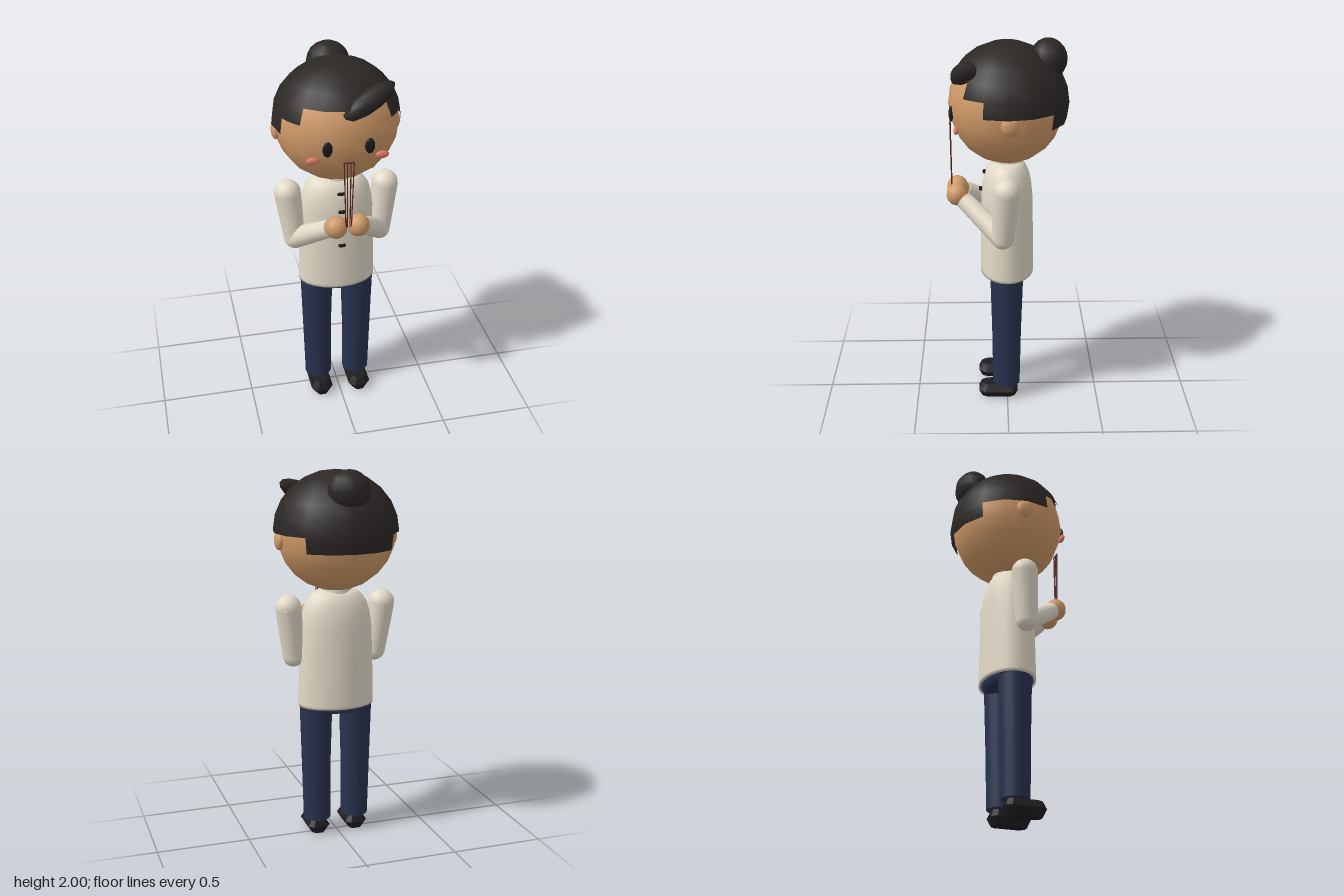
import * as THREE from 'three';

const mat = (color, side = THREE.FrontSide) => new THREE.MeshStandardMaterial({ color, side, roughness: 0.9 });
const SKIN = mat(0xd09a68), HAIR = mat(0x2b2725, THREE.DoubleSide), SHIRT = mat(0xe2dac8);
const PANTS = mat(0x28324e), SHOE = mat(0x1e1e21), DARK = mat(0x1c1a1a), CHEEK = mat(0xe07c6c), STRAND = mat(0x5a2a22);
SHOE.flatShading = true;

export function createModel() {
  const root = new THREE.Group();
  const add = (name, geo, material, x = 0, y = 0, z = 0) => {
    const m = new THREE.Mesh(geo, material);
    m.name = name;
    m.position.set(x, y, z);
    root.add(m);
    return m;
  };
  const ball = (name, material, x, y, z, rx, ry, rz, w = 16, h = 12) => {
    const m = add(name, new THREE.SphereGeometry(1, w, h), material, x, y, z);
    m.scale.set(rx, ry, rz);
    return m;
  };
  // tapered cylinder between two points
  const limb = (name, material, a, b, ra, rb, seg = 16) => {
    const p = new THREE.Vector3(...a), q = new THREE.Vector3(...b), d = q.clone().sub(p);
    const m = add(name, new THREE.CylinderGeometry(rb, ra, d.length(), seg), material);
    m.position.copy(p).add(q).multiplyScalar(0.5);
    m.quaternion.setFromUnitVectors(new THREE.Vector3(0, 1, 0), d.normalize());
    return m;
  };
  const lathe = (name, material, pts, zScale) => {
    const m = add(name, new THREE.LatheGeometry(pts.map(p => new THREE.Vector2(...p)), 24), material);
    m.scale.z = zScale;
    return m;
  };

  // head
  ball('head', SKIN, 0, 1.67, 0, 0.317, 0.312, 0.3);

  // hair cap: sphere patches with a stepped lower edge [phi start, phi length, theta length]
  const deg = Math.PI / 180;
  [[45, 90, 60], [22.5, 22.5, 75], [135, 22.5, 75], [-45, 67.5, 90], [157.5, 67.5, 90], [225, 90, 105]]
    .forEach(([start, len, theta]) => {
      const g = new THREE.SphereGeometry(1, len / 22.5, theta / 15, start * deg, len * deg, 0, theta * deg);
      add('hairCap', g, HAIR, 0, 1.67, 0).scale.set(0.331, 0.317, 0.32);
    });
  ball('hairBun', HAIR, 0, 1.893, -0.208, 0.113, 0.107, 0.098, 12, 10);
  const fringe = ball('fringe', HAIR, 0.11, 1.845, 0.218, 0.162, 0.056, 0.056, 10, 8);
  fringe.rotation.set(0, 0.3, 0.42);

  // torso, collar and hips
  lathe('jacket', SHIRT, [[0, 0.735], [0.207, 0.735], [0.207, 0.75], [0.204, 0.9], [0.2, 1.05], [0.195, 1.17],
    [0.185, 1.24], [0.168, 1.295], [0.14, 1.335], [0.105, 1.36], [0, 1.365]], 0.69);
  add('collar', new THREE.CylinderGeometry(0.08, 0.085, 0.06, 20), SHIRT, 0, 1.355, 0);
  lathe('hips', PANTS, [[0, 0.694], [0.12, 0.696], [0.155, 0.705], [0.2, 0.742], [0, 0.742]], 0.69);

  // jacket buttons
  [[1.0, 0.143], [1.1, 0.143], [1.2, 0.138], [1.295, 0.117]].forEach(([y, z]) => {
    const b = add('button', new THREE.CylinderGeometry(0.02, 0.02, 0.012, 10), DARK, 0, y, z);
    b.scale.z = 0.5;
  });

  // shoe rings: [y, half width, half length]
  const shoeGeometry = () => {
    const rings = [[0, 0.036, 0.09], [0.042, 0.061, 0.108], [0.082, 0.036, 0.092]];
    const pos = [], idx = [], n = 8;
    rings.forEach(([y, w, l]) => {
      const corners = [[1, 0.65], [0.5, 1], [-0.5, 1], [-1, 0.65], [-1, -0.75], [-0.6, -1], [0.6, -1], [1, -0.75]];
      corners.forEach(([u, v]) => pos.push(u * w, y, v * l));
    });
    for (let r = 0; r < 2; r++) for (let i = 0; i < n; i++) {
      const a = r * n + i, b = r * n + (i + 1) % n;
      idx.push(a, a + n, b, b, a + n, b + n);
    }
    for (let i = 1; i < n - 1; i++) idx.push(0, i, i + 1, 2 * n, 2 * n + i + 1, 2 * n + i);
    // rings run clockwise seen from above, so flip every face outward
    for (let i = 0; i < idx.length; i += 3) [idx[i + 1], idx[i + 2]] = [idx[i + 2], idx[i + 1]];
    const g = new THREE.BufferGeometry();
    g.setAttribute('position', new THREE.Float32BufferAttribute(pos, 3));
    g.setIndex(idx);
    // caps are wound with the sides above; check orientation by signed volume
    let vol = 0;
    const v = i => new THREE.Vector3(pos[3 * i], pos[3 * i + 1] - 0.04, pos[3 * i + 2]);
    const fixed = [];
    for (let i = 0; i < idx.length; i += 3) {
      const [a, b, c] = [idx[i], idx[i + 1], idx[i + 2]];
      vol = v(a).dot(v(b).cross(v(c)));
      fixed.push(a, ...(vol >= 0 ? [b, c] : [c, b]));
    }
    g.setIndex(fixed);
    g.computeVertexNormals();
    return g;
  };

  for (const [side, s] of [['left', 1], ['right', -1]]) {
    // face
    ball(side + 'Ear', SKIN, s * 0.31, 1.633, -0.01, 0.023, 0.05, 0.046, 12, 10);
    ball(side + 'Eye', DARK, s * 0.105, 1.642, 0.283, 0.025, 0.041, 0.012, 12, 10);
    ball(side + 'Cheek', CHEEK, s * 0.174, 1.575, 0.258, 0.035, 0.02, 0.012, 12, 8);

    // arm bent up toward the chest
    const shoulder = [s * 0.26, 1.275, 0.005], elbow = [s * 0.229, 1.01, 0.025], wrist = [s * 0.08, 1.165, 0.225];
    ball(side + 'Shoulder', SHIRT, ...shoulder, 0.07, 0.07, 0.07);
    limb(side + 'UpperArm', SHIRT, shoulder, elbow, 0.07, 0.058);
    ball(side + 'Elbow', SHIRT, ...elbow, 0.058, 0.058, 0.058);
    limb(side + 'Forearm', SHIRT, elbow, wrist, 0.058, 0.046);
    limb(side + 'Wrist', SKIN, wrist, [s * 0.062, 1.183, 0.25], 0.04, 0.04);
    ball(side + 'Hand', SKIN, s * 0.058, 1.19, 0.262, 0.058, 0.06, 0.056, 14, 10);

    // leg
    limb(side + 'Thigh', PANTS, [s * 0.112, 0.42, 0.004], [s * 0.112, 0.73, 0.003], 0.079, 0.088, 20);
    ball(side + 'Knee', PANTS, s * 0.112, 0.42, 0.004, 0.078, 0.05, 0.078);
    limb(side + 'Shin', PANTS, [s * 0.108, 0.085, 0.005], [s * 0.112, 0.42, 0.004], 0.074, 0.079, 20);
    add(side + 'Shoe', shoeGeometry(), SHOE, s * 0.108, 0, 0.05);

    // thin strands rising from the hands
    limb(side + 'OuterStrand', STRAND, [s * 0.014, 1.2, 0.29], [s * 0.025, 1.565, 0.293], 0.003, 0.003, 6);
    limb(side + 'InnerStrand', STRAND, [s * 0.007, 1.2, 0.29], [s * 0.009, 1.565, 0.293], 0.003, 0.003, 6);
  }
  limb('strandTop', STRAND, [-0.025, 1.565, 0.293], [0.025, 1.565, 0.293], 0.004, 0.004, 6);

  return root;
}
